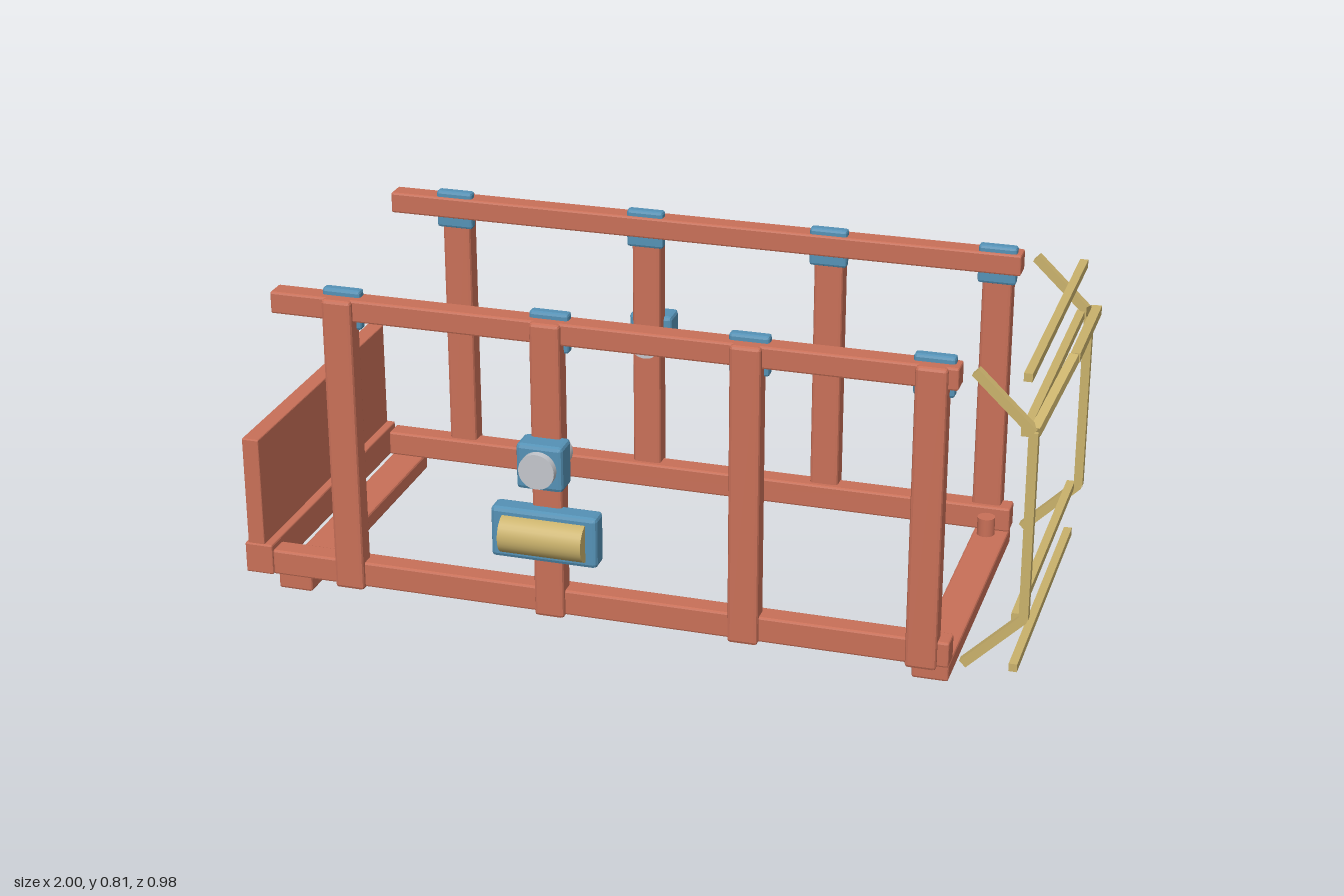
import * as THREE from 'three';
import { RoundedBoxGeometry } from 'three/addons/geometries/RoundedBoxGeometry.js';

const mat = (name, color) => {
  const m = new THREE.MeshStandardMaterial({ color });
  m.name = name;
  return m;
};

export function createModel() {
  const root = new THREE.Group();
  root.name = 'frameAssembly';
  const red = mat('terracotta', 0xc97058);
  const blue = mat('steelBlue', 0x5592b6);
  const gold = mat('ochre', 0xcab26c);
  const silver = mat('silver', 0xc4c7cd);

  const add = (name, geometry, material, x = 0, y = 0, z = 0) => {
    const mesh = new THREE.Mesh(geometry, material);
    mesh.name = name;
    mesh.position.set(x, y, z);
    root.add(mesh);
    return mesh;
  };

  // Chamfered box given by its min and max on each axis
  const box = (name, material, [x0, x1], [y0, y1], [z0, z1], bevel = 0.005) => {
    const g = new RoundedBoxGeometry(x1 - x0, y1 - y0, z1 - z0, 1, bevel);
    g.computeVertexNormals();
    return add(name, g, material, (x0 + x1) / 2, (y0 + y1) / 2, (z0 + z1) / 2);
  };

  // Square bar between two points
  const bar = (name, a, b, w = 0.022) => {
    const p = new THREE.Vector3(...a), q = new THREE.Vector3(...b);
    const mesh = add(name, new THREE.BoxGeometry(w, w, p.distanceTo(q)), gold);
    mesh.position.copy(p).add(q).multiplyScalar(0.5);
    mesh.lookAt(q);
  };

  const posts = [-0.717, -0.2, 0.28, 0.708];
  for (const s of [1, -1]) {
    const side = (a, b) => (s > 0 ? [a, b] : [-b, -a]);

    // Long rails
    box('lowerRail', red, [-0.925, 0.772], [0.045, 0.11], side(0.35, 0.406));
    box('upperRail', red, [-0.89, 0.768], [0.74, 0.795], side(0.35, 0.406));

    // Posts and the clips that hold the upper rail
    for (const x of posts) {
      box('post', red, [x - 0.037, x + 0.037], [0.04, 0.795], side(0.365, 0.421), 0.008);
      box('railClip', blue, [x - 0.048, x + 0.048], [0.712, 0.811], side(0.355, 0.385), 0.007);
    }

    // Sensor housing and its lens barrel
    box('sensorHousing', blue, [-0.257, -0.143], [0.396, 0.511], side(0.4, 0.471), 0.01);
    const lens = add('sensorLens', new THREE.CylinderGeometry(0.044, 0.044, 0.138, 32), silver, -0.2, 0.453, s * 0.421);
    lens.rotation.x = Math.PI / 2;

    // Side hoop of the end cage
    const z = s * 0.381;
    const hoop = [[0.802, 0.785, z], [0.938, 0.655, z], [0.938, 0.19, z], [0.802, 0.055, z]];
    for (let i = 0; i < 3; i++) bar('cageHoop', hoop[i], hoop[i + 1]);
    bar('cageVisorArm', [0.941, 0.656, z], [0.985, 0.751, s * 0.155]);
  }

  // Cross bars of the end cage
  for (const y of [0.782, 0.65, 0.188, 0.057]) {
    bar('cageCrossBar', [0.918, y, -0.38], [0.918, y, 0.38], 0.02);
  }
  bar('cageVisorBar', [0.987, 0.751, -0.157], [0.987, 0.751, 0.157]);

  // Cross beams under the frame
  box('rearCrossBeam', red, [-0.92, -0.832], [0, 0.045], [-0.39, 0.39], 0.006);
  box('frontCrossBeam', red, [0.682, 0.77], [0, 0.045], [-0.39, 0.39], 0.006);

  // End sill and upright panel
  box('endSill', red, [-1, -0.928], [0.04, 0.12], [-0.403, 0.403], 0.004);
  box('endPanel', red, [-0.992, -0.949], [0.115, 0.4], [-0.4, 0.4], 0.003);

  // Roller unit on the front side
  box('rollerHousing', blue, [-0.33, -0.066], [0.203, 0.333], [0.4, 0.456], 0.01);
  const roller = add('roller', new THREE.CylinderGeometry(0.049, 0.049, 0.207, 32), gold, -0.197, 0.267, 0.445);
  roller.rotation.z = Math.PI / 2;

  // Small free-standing knob near the cage
  add('knob', new THREE.CylinderGeometry(0.02, 0.02, 0.042, 20), red, 0.845, 0.426, 0.41);

  return root;
}
